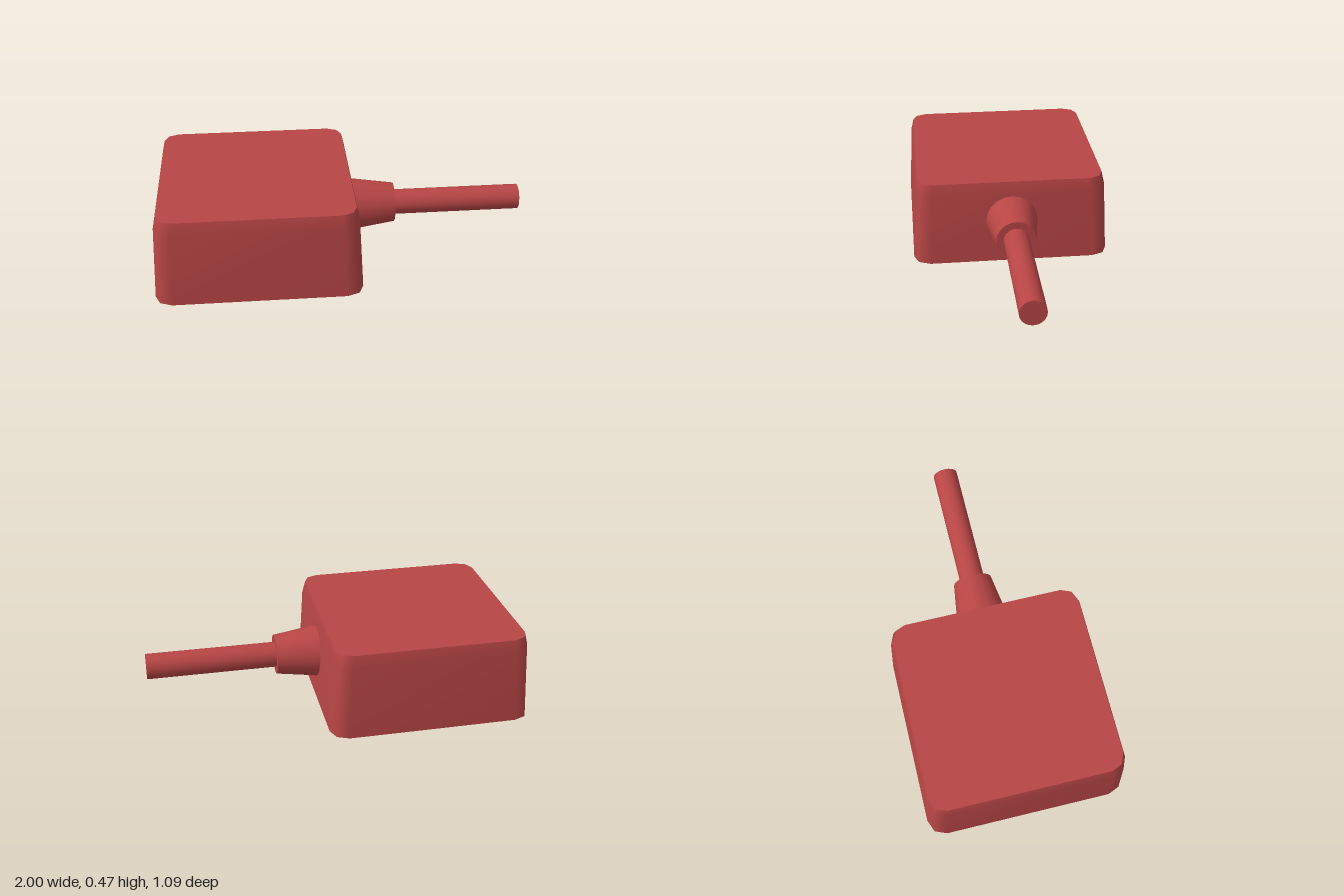
import * as THREE from 'three';

const material = new THREE.MeshStandardMaterial({ color: 0xb84545 });
const AXIS_Y = 0.243;
const BODY_X = -0.457;

// One horizontal outline of the case: a square with two-segment rounded corners
function ring(half, radius, y) {
  const points = [];
  for (let corner = 0; corner < 4; corner++) {
    const middle = (corner + 0.5) * Math.PI / 2;
    const cx = Math.sign(Math.cos(middle)) * (half - radius);
    const cz = Math.sign(Math.sin(middle)) * (half - radius);
    for (let i = 0; i <= 2; i++) {
      const a = (corner + i / 2) * Math.PI / 2;
      points.push([cx + radius * Math.cos(a), y, cz + radius * Math.sin(a)]);
    }
  }
  return points;
}

// Smooth tapered walls through the rings, with separate flat caps
function loft(rings) {
  const positions = [], index = [];
  const n = rings[0].length;
  for (const r of rings) positions.push(...r.flat());
  for (let k = 0; k < rings.length - 1; k++) {
    for (let i = 0; i < n; i++) {
      const a = k * n + i, b = k * n + (i + 1) % n;
      index.push(a, a + n, b, b, a + n, b + n);
    }
  }
  const addCap = (r, up) => {
    const base = positions.length / 3;
    positions.push(...r.flat());
    for (let i = 1; i < n - 1; i++) {
      if (up) index.push(base, base + i + 1, base + i);
      else index.push(base, base + i, base + i + 1);
    }
  };
  addCap(rings[0], false);
  addCap(rings[rings.length - 1], true);
  const geometry = new THREE.BufferGeometry();
  geometry.setAttribute('position', new THREE.Float32BufferAttribute(positions, 3));
  geometry.setIndex(index);
  geometry.computeVertexNormals();
  return geometry;
}

// Round part lying along x, from x0 to x1
function rod(name, x0, x1, r0, r1) {
  const geometry = new THREE.CylinderGeometry(r1, r0, x1 - x0, 20);
  geometry.rotateZ(-Math.PI / 2);
  const mesh = new THREE.Mesh(geometry, material);
  mesh.name = name;
  mesh.position.set((x0 + x1) / 2, AXIS_Y, 0);
  return mesh;
}

export function createModel() {
  const model = new THREE.Group();
  model.name = 'plugWithCable';

  // Tapered case with a steeper shoulder at the top
  const body = new THREE.Mesh(loft([
    ring(0.543, 0.09, 0),
    ring(0.523, 0.085, 0.4),
    ring(0.508, 0.08, 0.466),
  ]), material);
  body.name = 'body';
  body.position.x = BODY_X;
  model.add(body);

  // Strain relief and cable leaving the left side
  model.add(rod('strainRelief', 0.06, 0.3, 0.143, 0.108));
  model.add(rod('cable', 0.28, 1, 0.069, 0.069));
  return model;
}
